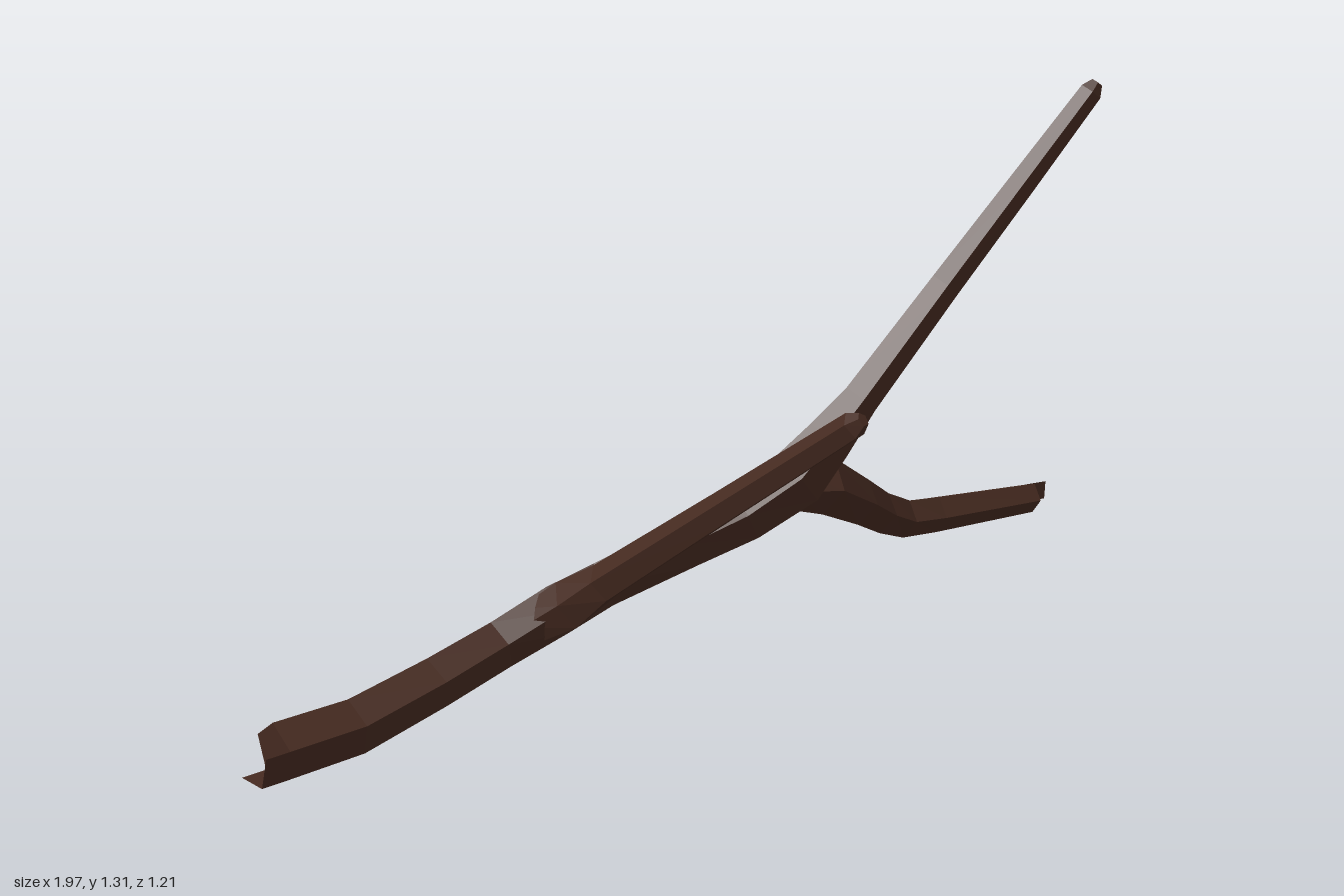
import * as THREE from 'three';

const SIDES = 5;
const bark = new THREE.MeshStandardMaterial({ color: 0x452a20, flatShading: true, side: THREE.DoubleSide });

// Rings of points round a path of [x, y, z, radius]; phase in degrees, 0 = horizontal side
function makeRings(path, phase) {
  const pts = path.map(p => new THREE.Vector3(p[0], p[1], p[2]));
  const up = new THREE.Vector3(0, 1, 0);
  return pts.map((p, k) => {
    const before = pts[Math.max(k - 1, 0)], after = pts[Math.min(k + 1, pts.length - 1)];
    const a = p.clone().sub(before).normalize(), b = after.clone().sub(p).normalize();
    const dir = a.add(b).normalize();
    const side = dir.clone().cross(up).normalize();
    const top = side.clone().cross(dir);
    const ring = [];
    for (let i = 0; i < SIDES; i++) {
      const t = THREE.MathUtils.degToRad(phase) + i / SIDES * Math.PI * 2;
      ring.push(p.clone().addScaledVector(side, Math.cos(t) * path[k][3])
        .addScaledVector(top, Math.sin(t) * path[k][3]));
    }
    return { centre: p, dir, ring };
  });
}

function meshFrom(name, corners) {
  const geometry = new THREE.BufferGeometry().setFromPoints(corners);
  geometry.computeVertexNormals();
  const mesh = new THREE.Mesh(geometry, bark);
  mesh.name = name;
  return mesh;
}

// A capped five-sided limb
function limb(name, rings) {
  const c = [];
  for (let i = 0; i < SIDES; i++) {
    const j = (i + 1) % SIDES;
    for (let k = 0; k < rings.length - 1; k++) {
      const A = rings[k].ring, B = rings[k + 1].ring;
      c.push(A[i], B[i], A[j], A[j], B[i], B[j]);
    }
    const first = rings[0], last = rings[rings.length - 1];
    c.push(first.centre, first.ring[i], first.ring[j]);
    c.push(last.centre, last.ring[j], last.ring[i]);
  }
  return meshFrom(name, c);
}

// Strips of bark that reach past a broken end
function splinter(name, end, faces, length) {
  const c = [];
  for (const i of faces) {
    const a = end.ring[i], b = end.ring[(i + 1) % SIDES];
    const a2 = a.clone().addScaledVector(end.dir, length), b2 = b.clone().addScaledVector(end.dir, length);
    const quad = [a, a2, b, b, a2, b2];
    c.push(...(length > 0 ? quad : quad.reverse()));
  }
  return meshFrom(name, c);
}

export function createModel() {
  const group = new THREE.Group();
  group.name = 'branch';

  // Main stem, running on into the tall upper branch
  const stem = makeRings([
    [-0.925, 0.059, 0.452, 0.066], [-0.76, 0.066, 0.35, 0.064], [-0.58, 0.11, 0.23, 0.06],
    [-0.43, 0.155, 0.135, 0.057], [-0.3, 0.21, 0.085, 0.06], [-0.19, 0.253, 0.05, 0.054],
    [0, 0.335, 0.038, 0.056], [0.13, 0.39, 0.02, 0.062], [0.25, 0.465, -0.005, 0.072],
    [0.325, 0.545, -0.025, 0.058], [0.4, 0.63, -0.045, 0.044], [0.6, 0.868, -0.108, 0.037],
    [0.78, 1.09, -0.143, 0.032], [0.935, 1.285, -0.17, 0.027], [0.95, 1.305, -0.173, 0.014]], 18);
  group.add(limb('mainStem', stem));
  group.add(splinter('stemSplinter', stem[0], [3, 4], -0.06));

  // Low branch bending back and outward
  const low = makeRings([
    [0.22, 0.445, 0.0, 0.05], [0.32, 0.425, -0.065, 0.068], [0.42, 0.347, -0.17, 0.056],
    [0.49, 0.285, -0.265, 0.05], [0.56, 0.243, -0.34, 0.047], [0.65, 0.23, -0.4, 0.045],
    [0.92, 0.21, -0.55, 0.037]], 0);
  group.add(limb('lowBranch', low));
  group.add(splinter('lowBranchSplinter', low[low.length - 1], [2], 0.075));

  // Straight side branch reaching forward
  const front = makeRings([
    [-0.36, 0.18, 0.1, 0.045], [-0.27, 0.235, 0.125, 0.058], [-0.2, 0.3, 0.175, 0.045],
    [0.03, 0.525, 0.37, 0.037], [0.272, 0.758, 0.566, 0.031], [0.289, 0.775, 0.58, 0.016]], 18);
  group.add(limb('frontBranch', front));

  return group;
}
